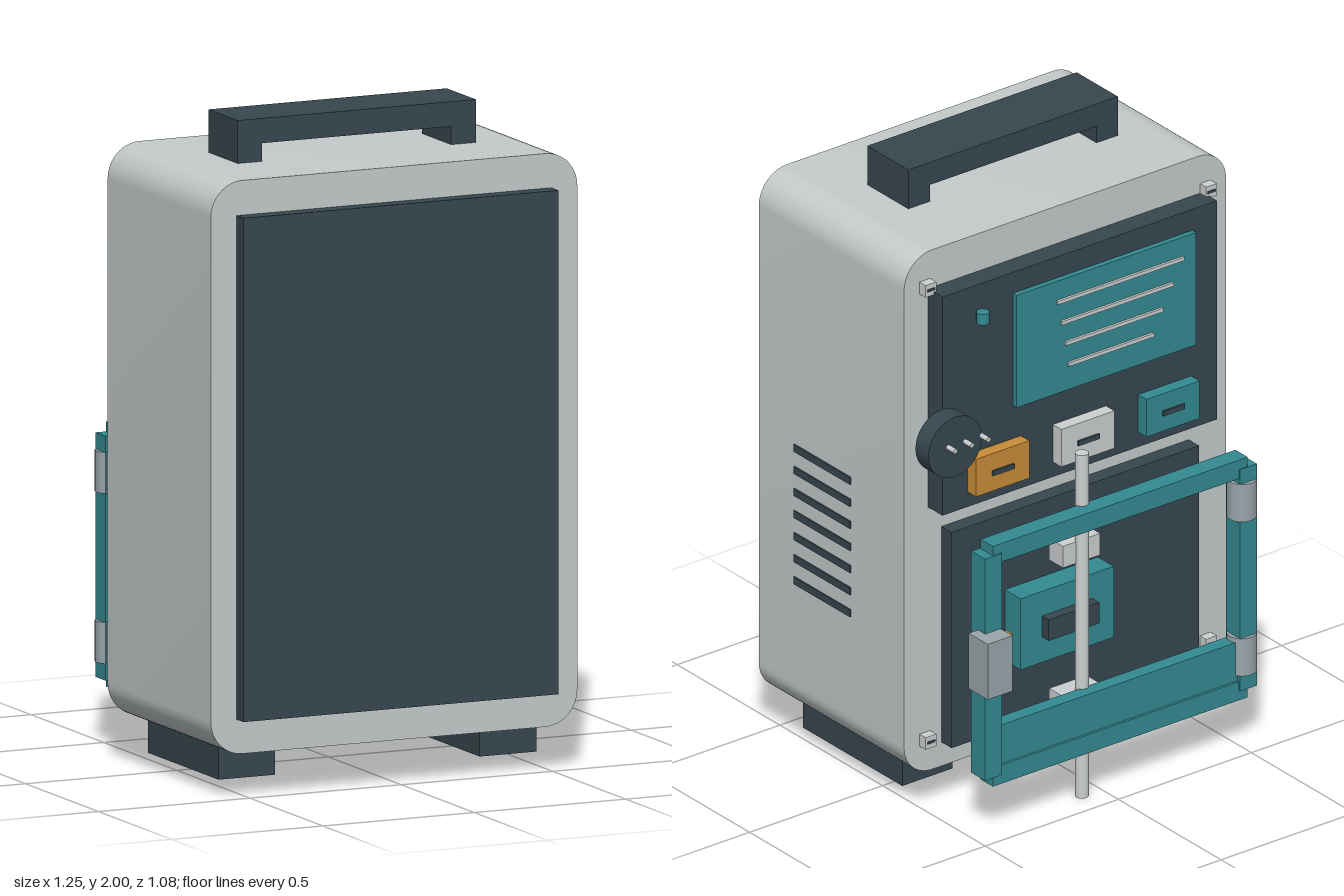
import * as THREE from 'three';
import { toCreasedNormals } from 'three/addons/utils/BufferGeometryUtils.js';

const mat = (name, color) => {
  const m = new THREE.MeshStandardMaterial({ color });
  m.name = name;
  return m;
};

export function createModel() {
  const root = new THREE.Group();
  root.name = 'equipmentCase';
  const shell = mat('shell grey', 0xc5cbcb);
  const dark = mat('dark slate', 0x37474f);
  const teal = mat('teal', 0x338b92);
  const orange = mat('orange', 0xc98d38);
  const pale = mat('pale grey', 0xcdd0d1);
  const steel = mat('steel grey', 0x9aa5ab);

  const add = (name, geometry, material, x = 0, y = 0, z = 0) => {
    const mesh = new THREE.Mesh(geometry, material);
    mesh.name = name;
    mesh.position.set(x, y, z);
    root.add(mesh);
    return mesh;
  };
  // box given by its limits on each axis
  const box = (name, material, [x0, x1], [y0, y1], [z0, z1]) =>
    add(name, new THREE.BoxGeometry(x1 - x0, y1 - y0, z1 - z0), material,
      (x0 + x1) / 2, (y0 + y1) / 2, (z0 + z1) / 2);
  const rod = (name, material, r, len, x, y, z, seg = 24) =>
    add(name, new THREE.CylinderGeometry(r, r, len, seg), material, x, y, z);

  // rounded case body, extruded front to back
  const x0 = -0.625, x1 = 0.585, y0 = 0.135, y1 = 1.87, r = 0.105;
  const outline = new THREE.Shape();
  outline.absarc(x1 - r, y0 + r, r, -Math.PI / 2, 0);
  outline.absarc(x1 - r, y1 - r, r, 0, Math.PI / 2);
  outline.absarc(x0 + r, y1 - r, r, Math.PI / 2, Math.PI);
  outline.absarc(x0 + r, y0 + r, r, Math.PI, Math.PI * 1.5);
  const bodyGeo = new THREE.ExtrudeGeometry(outline, { depth: 0.707, bevelEnabled: false, curveSegments: 8 });
  add('body', toCreasedNormals(bodyGeo, 0.6), shell, 0, 0, -0.215);

  box('frontPanel', dark, [-0.54, 0.5], [0.24, 1.765], [0.485, 0.54]);

  // carrying handle
  box('handleGrip', dark, [-0.415, 0.372], [1.925, 2], [0.04, 0.24]);
  box('handleLegRight', dark, [-0.415, -0.335], [1.865, 1.925], [0.04, 0.24]);
  box('handleLegLeft', dark, [0.29, 0.372], [1.865, 1.925], [0.04, 0.24]);

  // feet
  box('footRight', dark, [-0.547, -0.36], [0.04, 0.137], [-0.1, 0.383]);
  box('footLeft', dark, [0.315, 0.503], [0.04, 0.137], [-0.1, 0.383]);

  // side vents
  for (let i = 0; i < 7; i++) {
    const y = 0.585 + i * 0.0737;
    box('vent', dark, [0.582, 0.59], [y - 0.012, y + 0.012], [0.043, 0.318]);
  }

  // back panels
  box('upperBackPanel', dark, [-0.537, 0.495], [1.015, 1.745], [-0.285, -0.21]);
  box('lowerBackPanel', dark, [-0.485, 0.445], [0.215, 0.935], [-0.265, -0.21]);

  // corner screws with slots
  for (const x of [-0.547, 0.507]) for (const y of [0.247, 1.757]) {
    box('screw', pale, [x - 0.02, x + 0.02], [y - 0.02, y + 0.02], [-0.245, -0.21]);
    box('screwSlot', dark, [x - 0.014, x + 0.014], [y - 0.004, y + 0.004], [-0.248, -0.244]);
  }

  // display plate with four ruled bars
  box('displayPlate', teal, [-0.445, 0.23], [1.3, 1.675], [-0.303, -0.284]);
  [0.475, 0.42, 0.365, 0.32].forEach((w, i) => {
    const y = 1.606 - i * 0.073;
    box('displayBar', pale, [-0.157 + 0.012 * i - w / 2, -0.157 + 0.012 * i + w / 2],
      [y - 0.006, y + 0.006], [-0.311, -0.302]);
  });

  rod('indicator', teal, 0.02, 0.036, 0.36, 1.645, -0.307, 16);

  // three modules with dark slots
  [[0.3, orange], [-0.02, pale], [-0.34, teal]].forEach(([x, m]) => {
    box('module', m, [x - 0.1, x + 0.1], [1.065, 1.19], [-0.326, -0.284]);
    box('moduleSlot', dark, [x - 0.04, x + 0.04], [1.118, 1.134], [-0.333, -0.325]);
  });

  // round plug and its pins
  rod('plug', dark, 0.1, 0.063, 0.52, 1.29, -0.347, 32).rotation.x = Math.PI / 2;
  for (const x of [0.46, 0.522, 0.585])
    rod('plugPin', pale, 0.008, 0.036, x, 1.33, -0.447, 12).rotation.x = Math.PI / 2;

  // lower control block
  box('controlBlock', teal, [-0.105, 0.245], [0.445, 0.682], [-0.342, -0.264]);
  box('controlKey', dark, [-0.025, 0.165], [0.53, 0.6], [-0.375, -0.341]);
  box('orangeButton', orange, [0.3, 0.36], [0.53, 0.595], [-0.373, -0.343]);

  // vertical pole with two brackets
  rod('pole', pale, 0.021, 1.145, 0.07, 0.5725, -0.413);
  for (const y of [0.316, 0.817])
    box('poleBracket', pale, [0, 0.14], [y - 0.036, y + 0.036], [-0.412, -0.345]);

  // hinged open frame
  for (const x of [-0.505, 0.453])
    box('framePost', teal, [x - 0.032, x + 0.032], [0.205, 0.945], [-0.48, -0.412]);
  for (const y of [0.205, 0.945])
    box('frameRail', teal, [-0.505, 0.453], [y - 0.031, y + 0.031], [-0.476, -0.416]);
  box('frameKickPlate', teal, [-0.473, 0.421], [0.23, 0.365], [-0.468, -0.422]);
  for (const y of [0.318, 0.833]) rod('hinge', steel, 0.046, 0.125, -0.505, y, -0.447);
  box('latch', steel, [0.427, 0.52], [0.51, 0.695], [-0.538, -0.445]);

  return root;
}
